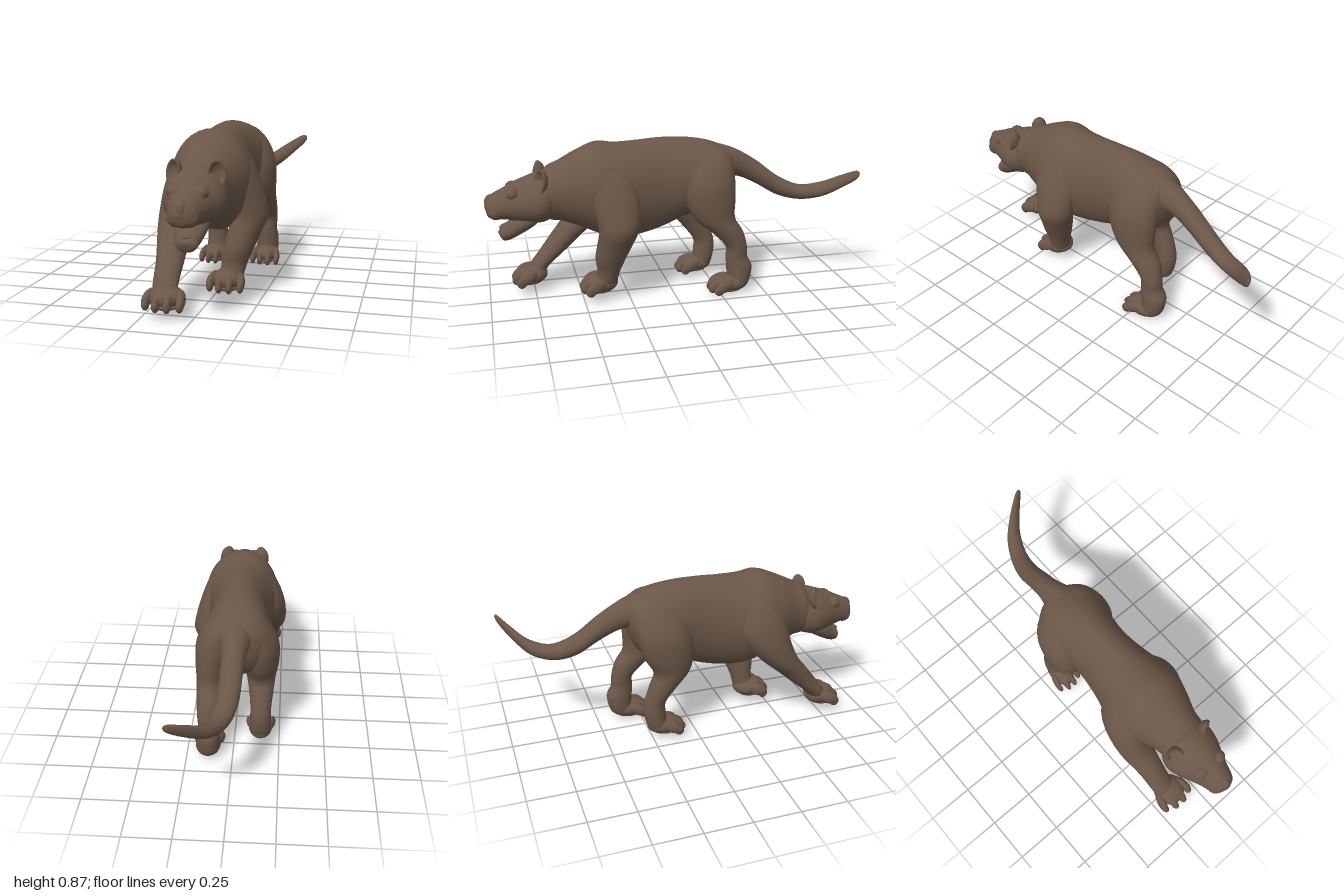
import * as THREE from 'three';

const fur = new THREE.MeshStandardMaterial({ color: 0x6b5748 });
fur.name = 'brown fur';

function add(parent, name, geometry) {
  const mesh = new THREE.Mesh(geometry, fur);
  mesh.name = name;
  parent.add(mesh);
  return mesh;
}

function ellipsoid(parent, name, pos, size, rot = [0, 0, 0]) {
  const mesh = add(parent, name, new THREE.SphereGeometry(1, 24, 16));
  mesh.position.set(...pos);
  mesh.scale.set(...size);
  mesh.rotation.set(...rot);
  return mesh;
}

// Smooth skin over elliptical sections [x, y, z, radiusA, radiusB].
// axis 'z': upright rings listed back to front; axis 'y': flat rings listed bottom to top.
// jowl > 0 narrows the top of upright rings and widens their lower half.
function loft(parent, name, axis, sections, jowl = 0) {
  const curve = pick => new THREE.CatmullRomCurve3(sections.map(pick), false, 'catmullrom', 0.5);
  const centre = curve(s => new THREE.Vector3(s[0], s[1], s[2]));
  const radius = curve(s => new THREE.Vector3(s[3], s[4], 0));
  const rows = (sections.length - 1) * 5, sides = 36, pos = [], index = [];
  for (let i = 0; i <= rows; i++) {
    const c = centre.getPoint(i / rows), r = radius.getPoint(i / rows);
    for (let j = 0; j < sides; j++) {
      const a = j / sides * Math.PI * 2;
      const u = Math.max(r.x, 0.0005) * Math.cos(a) * (1 - jowl * Math.sin(a));
      const v = Math.max(r.y, 0.0005) * Math.sin(a);
      if (axis === 'z') pos.push(c.x + u, c.y + v, c.z);
      else pos.push(c.x + u, c.y, c.z - v);
      if (i < rows) {
        const k = (j + 1) % sides, p = i * sides, q = p + sides;
        index.push(p + j, p + k, q + k, p + j, q + k, q + j);
      }
    }
  }
  const g = new THREE.BufferGeometry();
  g.setAttribute('position', new THREE.Float32BufferAttribute(pos, 3));
  g.setIndex(index);
  g.computeVertexNormals();
  return add(parent, name, g);
}

// Paw with four toes; x is its middle, heel and tip are z, w its width, h its height
function paw(parent, name, x, floor, heel, tip, w, h) {
  const g = new THREE.Group();
  g.name = name;
  parent.add(g);
  const len = tip - heel;
  ellipsoid(g, 'palm', [x, floor + h * 0.52, heel + len * 0.44], [w * 0.42, h * 0.5, len * 0.43]);
  ellipsoid(g, 'pad', [x, floor + h * 0.2, heel + len * 0.5], [w * 0.35, h * 0.2, len * 0.36]);
  for (let i = 0; i < 4; i++) {
    const s = i - 1.5, back = Math.abs(s) > 1 ? 0.022 : 0;
    const tx = x + s * w * 0.26;
    ellipsoid(g, 'toe', [tx, floor + h * 0.52, tip - 0.062 - back],
      [w * 0.115, h * 0.32, 0.06], [0.4, s * 0.14, 0]);
    ellipsoid(g, 'toeTip', [tx + s * 0.003, floor + h * 0.29, tip - 0.026 - back],
      [w * 0.09, h * 0.27, 0.026], [0.2, 0, 0]);
  }
}

export function createModel() {
  const cat = new THREE.Group();
  cat.name = 'prowlingBigCat';

  // Trunk and neck
  loft(cat, 'body', 'z', [
    [-0.01, 0.68, -0.35, 0, 0], [-0.01, 0.68, -0.335, 0.1, 0.1], [-0.012, 0.65, -0.28, 0.165, 0.163],
    [-0.015, 0.64, -0.2, 0.185, 0.2], [-0.015, 0.64, -0.08, 0.165, 0.22], [-0.015, 0.615, 0.05, 0.155, 0.25],
    [-0.012, 0.595, 0.18, 0.172, 0.262], [-0.01, 0.59, 0.3, 0.2, 0.262], [-0.01, 0.61, 0.4, 0.206, 0.252],
    [-0.01, 0.615, 0.5, 0.18, 0.21], [-0.005, 0.61, 0.6, 0.14, 0.165], [-0.003, 0.6, 0.68, 0.12, 0.13],
    [0, 0.6, 0.73, 0, 0]]);

  loft(cat, 'tail', 'z', [
    [0.257, 0.672, -1, 0, 0], [0.24, 0.657, -0.985, 0.021, 0.024], [0.17, 0.605, -0.93, 0.035, 0.035],
    [0.09, 0.545, -0.85, 0.045, 0.041], [0.035, 0.522, -0.74, 0.05, 0.042], [0.005, 0.56, -0.62, 0.055, 0.055],
    [-0.005, 0.64, -0.5, 0.057, 0.066], [-0.01, 0.695, -0.4, 0.064, 0.073], [-0.01, 0.718, -0.32, 0.085, 0.084],
    [-0.01, 0.72, -0.25, 0.1, 0.09], [-0.01, 0.72, -0.2, 0, 0]]);

  // Legs, each from the ankle up to the shoulder or hip
  loft(cat, 'frontLegLeft', 'y', [
    [0.085, 0.06, 0.385, 0, 0], [0.085, 0.09, 0.385, 0.055, 0.06], [0.1, 0.17, 0.365, 0.066, 0.062],
    [0.12, 0.25, 0.355, 0.078, 0.083], [0.145, 0.33, 0.335, 0.086, 0.095], [0.173, 0.42, 0.315, 0.092, 0.107],
    [0.162, 0.52, 0.32, 0.086, 0.122], [0.132, 0.62, 0.335, 0.085, 0.132], [0.098, 0.72, 0.35, 0.076, 0.122],
    [0.06, 0.8, 0.365, 0.05, 0.08], [0.04, 0.835, 0.37, 0, 0]]);
  loft(cat, 'frontLegRight', 'y', [
    [-0.14, 0.06, 0.77, 0, 0], [-0.142, 0.09, 0.755, 0.055, 0.055], [-0.156, 0.14, 0.718, 0.062, 0.058],
    [-0.16, 0.23, 0.632, 0.069, 0.075], [-0.165, 0.3, 0.567, 0.078, 0.087], [-0.172, 0.38, 0.49, 0.09, 0.102],
    [-0.177, 0.48, 0.42, 0.089, 0.125], [-0.165, 0.58, 0.38, 0.088, 0.138], [-0.132, 0.68, 0.365, 0.085, 0.13],
    [-0.095, 0.77, 0.36, 0.064, 0.09], [-0.06, 0.83, 0.37, 0, 0]]);
  loft(cat, 'hindLegLeft', 'y', [
    [0.132, 0.015, -0.355, 0, 0], [0.132, 0.04, -0.36, 0.055, 0.055], [0.13, 0.14, -0.366, 0.062, 0.072],
    [0.13, 0.2, -0.35, 0.056, 0.061], [0.13, 0.27, -0.345, 0.06, 0.06], [0.125, 0.35, -0.295, 0.07, 0.088],
    [0.12, 0.43, -0.225, 0.08, 0.112], [0.115, 0.53, -0.2, 0.09, 0.138], [0.102, 0.63, -0.195, 0.097, 0.144],
    [0.078, 0.73, -0.2, 0.08, 0.125], [0.05, 0.8, -0.2, 0.045, 0.08], [0.035, 0.825, -0.2, 0, 0]]);
  loft(cat, 'hindLegRight', 'y', [
    [-0.145, 0.04, -0.215, 0, 0], [-0.145, 0.07, -0.22, 0.052, 0.052], [-0.145, 0.16, -0.235, 0.058, 0.06],
    [-0.145, 0.23, -0.23, 0.056, 0.06], [-0.145, 0.32, -0.18, 0.066, 0.08], [-0.142, 0.4, -0.135, 0.08, 0.1],
    [-0.14, 0.5, -0.15, 0.097, 0.138], [-0.13, 0.62, -0.17, 0.103, 0.146], [-0.1, 0.73, -0.185, 0.083, 0.128],
    [-0.068, 0.8, -0.19, 0.045, 0.08], [-0.05, 0.825, -0.19, 0, 0]]);

  paw(cat, 'frontPawLeft', 0.075, 0.04, 0.31, 0.52, 0.19, 0.11);
  paw(cat, 'frontPawRight', -0.137, 0.04, 0.675, 0.875, 0.205, 0.11);
  paw(cat, 'hindPawLeft', 0.135, 0, -0.42, -0.185, 0.165, 0.1);
  paw(cat, 'hindPawRight', -0.145, 0.025, -0.28, -0.065, 0.155, 0.1);

  // Head
  const head = new THREE.Group();
  head.name = 'head';
  cat.add(head);
  loft(head, 'skull', 'z', [
    [-0.005, 0.6, 0.6, 0, 0], [-0.005, 0.6, 0.64, 0.115, 0.115], [-0.005, 0.586, 0.7, 0.15, 0.136],
    [-0.003, 0.577, 0.77, 0.141, 0.122], [0, 0.57, 0.84, 0.11, 0.104], [0.003, 0.56, 0.9, 0.086, 0.083],
    [0.005, 0.55, 0.95, 0.07, 0.069], [0.006, 0.546, 0.982, 0.046, 0.05], [0.006, 0.548, 0.998, 0, 0]], 0.14);
  loft(head, 'lowerJaw', 'z', [
    [0, 0.48, 0.7, 0, 0], [0, 0.475, 0.74, 0.075, 0.04], [0.003, 0.445, 0.82, 0.076, 0.058],
    [0.007, 0.41, 0.88, 0.058, 0.05], [0.009, 0.4, 0.915, 0.048, 0.036], [0.009, 0.405, 0.937, 0, 0]]);
  ellipsoid(head, 'tongue', [0.008, 0.44, 0.88], [0.034, 0.014, 0.05], [0.2, 0, 0]);
  ellipsoid(head, 'nose', [0.008, 0.57, 0.962], [0.027, 0.045, 0.036]);

  // Thick cupped ear, opening towards +z before it is turned
  const earProfile = [[0, -1], [0.45, -0.9], [0.8, -0.6], [0.97, -0.2], [1, 0], [0.94, 0.1], [0.84, 0.05], [0.65, -0.25], [0.35, -0.45], [0, -0.5]];
  const earGeometry = new THREE.LatheGeometry(earProfile.map(p => new THREE.Vector2(...p)), 28).rotateX(Math.PI / 2);

  for (const s of [-1, 1]) {
    ellipsoid(head, 'whiskerPad', [0.006 + s * 0.03, 0.527, 0.94], [0.044, 0.044, 0.044]);
    ellipsoid(head, 'brow', [s * 0.058, 0.625, 0.85], [0.042, 0.036, 0.036], [0.4, 0, 0]);
    ellipsoid(head, 'eye', [s * 0.058, 0.605, 0.88], [0.026, 0.015, 0.018], [0, s * 0.5, s * 0.1]);
    const ear = add(head, s > 0 ? 'earLeft' : 'earRight', earGeometry);
    ear.position.set(s * 0.107 - 0.006, 0.69, 0.712);
    ear.rotation.set(-0.15, s * 0.5, s * 0.12);
    ear.scale.set(0.044, 0.064, 0.045);
  }
  return cat;
}
